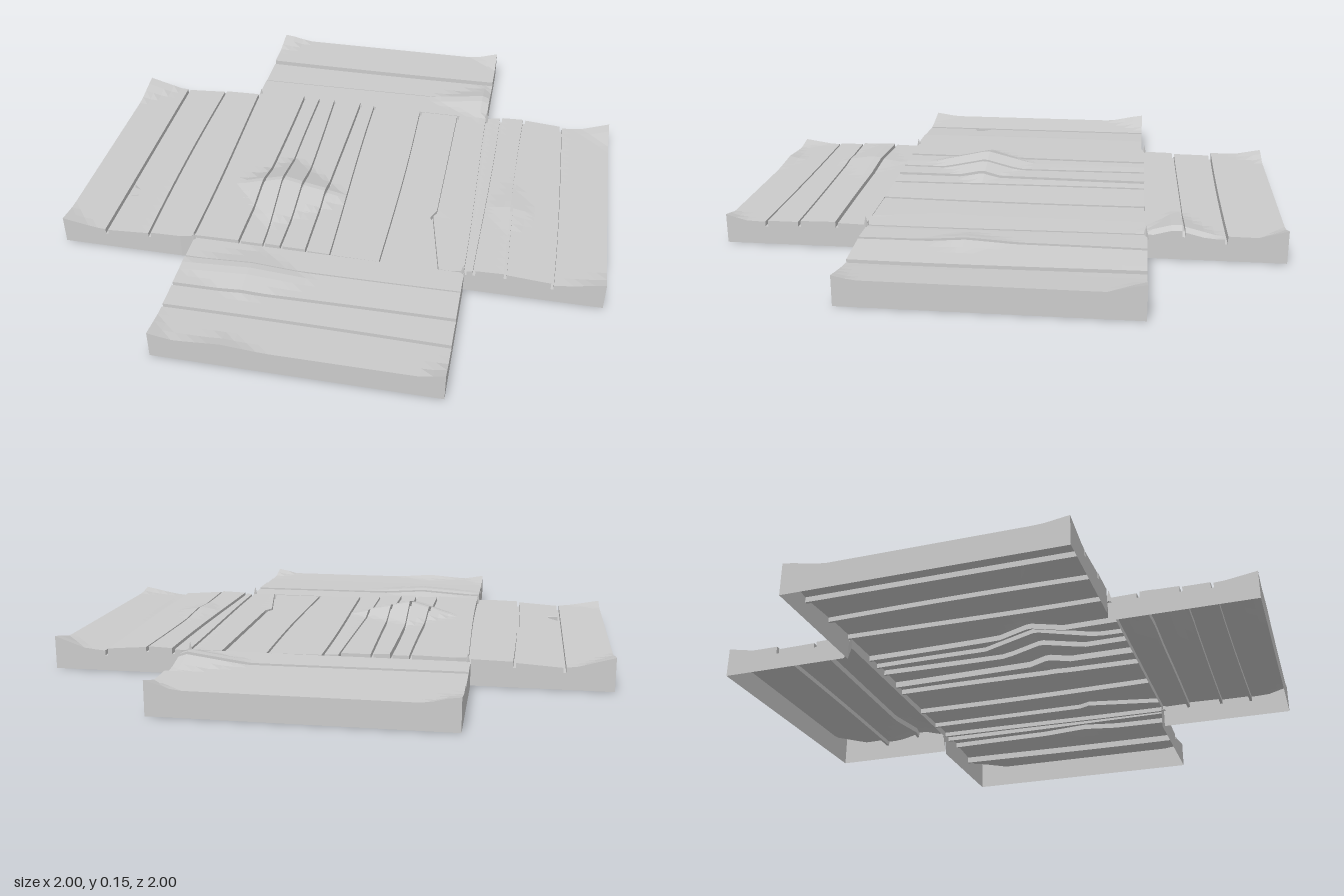
import * as THREE from 'three';

const material = new THREE.MeshStandardMaterial({ color: 0xcccccc, flatShading: true, side: THREE.DoubleSide });

// Pyramid bumps: x, z, height, then reach to -x, +x, -z, +z
const bumps = [
  [-0.24, 0.145, 0.052, 0.18, 0.27, 0.2, 0.24],
  [0.63, 0.1, 0.012, 0.08, 0.1, 0.2, 0.16],
  [-0.24, 0.64, 0.018, 0.3, 0.25, 0.14, 0.13],
  [0.46, -0.62, 0.035, 0.25, 0.1, 0.15, 0.12],
  [-0.24, 1, 0.012, 0.15, 0.15, 0.06, 0.06],
  // raised corners
  [-1, -0.49, 0.03, 0.1, 0.14, 0.1, 0.14],
  [-1, 0.5, 0.015, 0.1, 0.13, 0.1, 0.08],
  [1, -0.51, 0.03, 0.12, 0.1, 0.1, 0.12],
  [1, 0.48, 0.015, 0.14, 0.1, 0.07, 0.1],
  [-0.5, -1, 0.025, 0.1, 0.1, 0.1, 0.12],
  [0.49, -1, 0.03, 0.1, 0.1, 0.1, 0.1],
  [0.5, 1, 0.02, 0.08, 0.1, 0.08, 0.1],
  [-0.49, 1, 0.015, 0.1, 0.08, 0.12, 0.1],
];

function bumpHeight(x, z) {
  let y = 0;
  for (const [bx, bz, h, l, r, b, f] of bumps) {
    const dx = x - bx, dz = z - bz;
    y += h * Math.max(0, 1 - Math.abs(dx) / (dx < 0 ? l : r) - Math.abs(dz) / (dz < 0 ? b : f));
  }
  return y;
}

// Rows along the boards, with extra rows where shapes change
function spread(a, b, n, extra = []) {
  const list = extra.filter((v) => v > a && v < b);
  for (let i = 0; i <= n; i++) list.push(a + ((b - a) * i) / n);
  return list.sort((p, q) => p - q);
}

// Boards lie side by side along u and run along v; each is [u, height at start, height at end].
// place() turns (u, v) into [x, z]; foot() gives the height at which the rim ends.
function boardSurface(name, boards, end, rows, place, foot, seamShift = () => 0) {
  const gap = 0.005, depth = 0.018, columns = [];
  boards.forEach(([u, h0, h1], i) => {
    const last = i === boards.length - 1;
    const stop = last ? end : boards[i + 1][0];
    const a = u + (i ? gap : 0), b = stop - (last ? 0 : gap);
    const n = Math.max(2, Math.ceil((b - a) / 0.04));
    if (!i) columns.push({ u: a, rim: true });
    for (let k = 0; k <= n; k++) {
      const t = k / n;
      columns.push({ u: a + (b - a) * t, y: h0 + (h1 - h0) * t, seam: k === 0 ? i : k === n ? i + 1 : -1, side: k === 0 ? 1 : 0 });
    }
    if (last) columns.push({ u: b, rim: true });
    else {
      // sunken seam floor
      const floor = Math.min(h1, boards[i + 1][1]) - depth;
      columns.push({ u: b, y: floor, seam: i + 1, side: 0 }, { u: b + 2 * gap, y: floor, seam: i + 1, side: 1 });
    }
  });
  const first = rows[0], final = rows[rows.length - 1];
  const lines = [{ v: first, rim: true }, ...rows.map((v) => ({ v })), { v: final, rim: true }];
  const pos = [], index = [], w = columns.length;
  lines.forEach((line, j) => columns.forEach((c, i) => {
    const inner = c.seam > 0 && c.seam < boards.length;
    const u = c.u + (inner ? seamShift(c.seam, line.v, c.side) : 0);
    const [x, z] = place(u, line.v);
    pos.push(x, c.rim || line.rim ? foot(x, z) : c.y + bumpHeight(x, z), z);
    if (i && j) {
      const d = j * w + i;
      index.push(d - w - 1, d - 1, d, d - w - 1, d, d - w);
    }
  }));
  const geometry = new THREE.BufferGeometry();
  geometry.setAttribute('position', new THREE.Float32BufferAttribute(pos, 3));
  geometry.setIndex(index);
  geometry.computeVertexNormals();
  const mesh = new THREE.Mesh(geometry, material);
  mesh.name = name;
  return mesh;
}

export function createModel() {
  const group = new THREE.Group();
  group.name = 'plankCross';

  // Long deck across x, with a triangular split in the second board
  const deck = [
    [-1, 0.092, 0.08], [-0.83, 0.078, 0.088], [-0.66, 0.092, 0.095], [-0.5, 0.1, 0.103],
    [-0.31, 0.1, 0.1], [-0.23, 0.104, 0.102], [-0.165, 0.1, 0.1], [-0.06, 0.094, 0.092],
    [0.015, 0.09, 0.088], [0.205, 0.086, 0.086], [0.38, 0.09, 0.088], [0.5, 0.088, 0.09],
    [0.545, 0.094, 0.097], [0.65, 0.094, 0.082], [0.81, 0.074, 0.092],
  ];
  const deckShift = (seam, v, side) => {
    if (seam === 1) return side ? 0.11 * Math.max(0, 1 - Math.abs(v - 0.245) / 0.038) : 0;
    if (seam === 10) return v > 0.2 ? -0.03 + (v - 0.2) * 0.2 : -0.01;
    return 0.008 * Math.sin(seam * 2.3 + v * 3);
  };
  // The right half sits slightly further back than the left
  const deckPlace = (x, v) => [x, v + (x > 0.5 ? -0.02 : x > -0.5 ? -0.01 : 0)];
  const deckFoot = (x) => (Math.abs(x) < 0.49 ? 0.065 : 0);
  group.add(boardSurface('longDeck', deck, 1, spread(-0.495, 0.495, 24, [0.145, 0.207, 0.245, 0.283]),
    deckPlace, deckFoot, deckShift));

  // Short decks at the front and back, boards running along x
  const wobble = (seam, v) => 0.006 * Math.sin(seam * 1.7 + v * 2.5);
  const front = [[0.485, 0.088, 0.09], [0.59, 0.094, 0.092], [0.735, 0.088, 0.088], [0.85, 0.084, 0.088]];
  const back = [[-1, 0.09, 0.092], [-0.79, 0.08, 0.082], [-0.635, 0.086, 0.088]];
  const shortFoot = (x, z) => (Math.abs(z) < 0.52 && Math.abs(x) < 0.47 ? 0.065 : 0);
  group.add(boardSurface('frontDeck', front, 1, spread(-0.49, 0.505, 24, [-0.24]),
    (u, v) => [v, u], shortFoot, wobble));
  group.add(boardSurface('backDeck', back, -0.505, spread(-0.51, 0.49, 24, [0.46]),
    (u, v) => [v, u], shortFoot, wobble));

  // Splinters standing up at the inner corners
  for (const [x, z] of [[-0.49, 0.49], [0.5, 0.485], [-0.5, -0.505], [0.49, -0.51]]) {
    const splinter = new THREE.Mesh(new THREE.ConeGeometry(0.012, 0.05, 4), material);
    splinter.position.set(x, 0.095, z);
    splinter.name = 'cornerSplinter';
    group.add(splinter);
  }
  return group;
}
